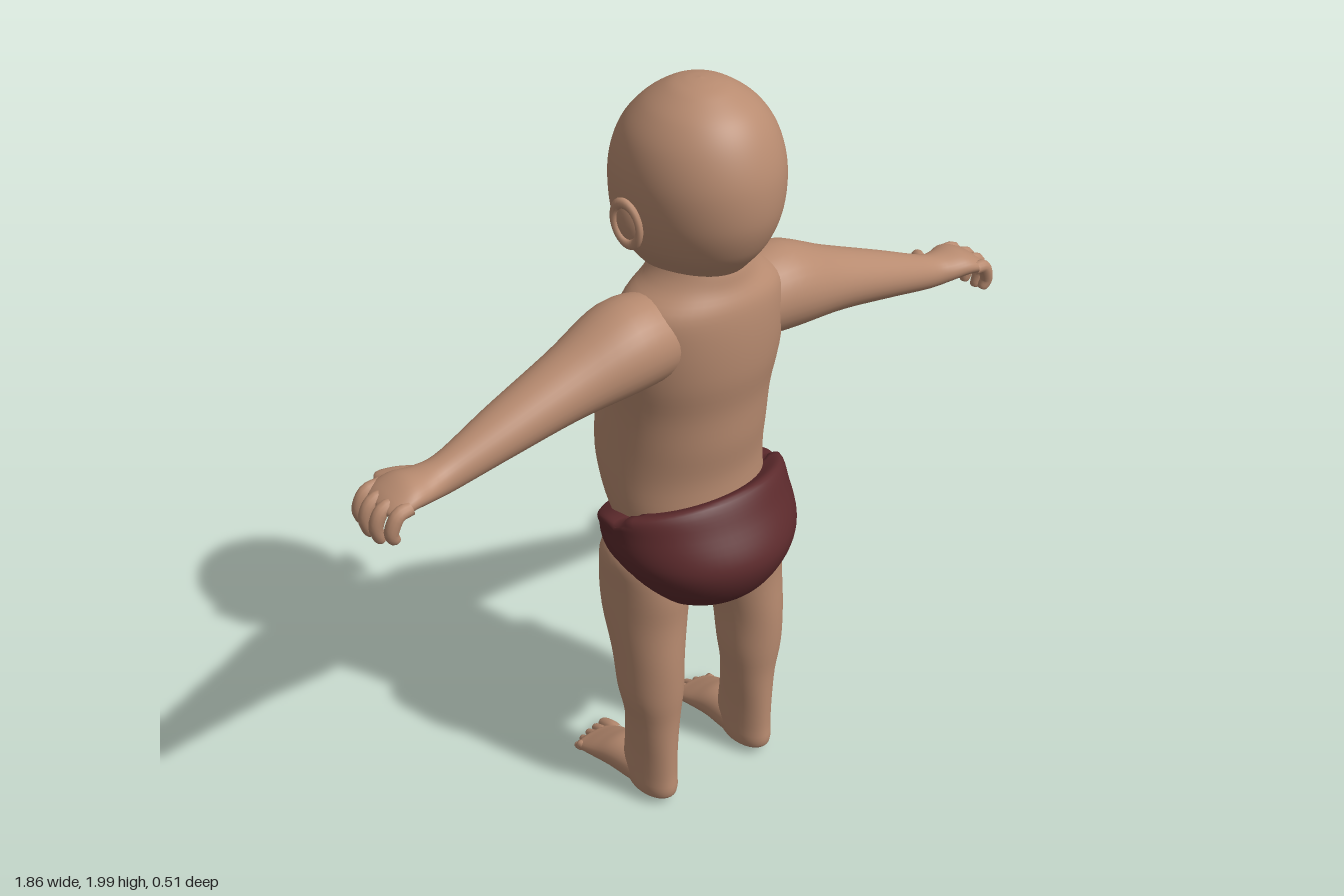
import * as THREE from 'three';

const skin = new THREE.MeshStandardMaterial({ color: 0xb88b70 });
skin.name = 'skin';
const cloth = new THREE.MeshStandardMaterial({ color: 0x5c2a2c, side: THREE.DoubleSide });
cloth.name = 'diaper cloth';
const crease = new THREE.MeshStandardMaterial({ color: 0x6e4638 });
crease.name = 'eye and mouth crease';

const X = new THREE.Vector3(1, 0, 0), Y = new THREE.Vector3(0, 1, 0), Z = new THREE.Vector3(0, 0, 1);

// Smooth skin through sections [x, y, z, halfAlongRef, halfAcross].
// Rings face dir, or follow the path when dir is null; rule may move each vertex.
function loft(sections, ref, dir, { rings = 32, sides = 32, rule = null } = {}) {
  const path = new THREE.CatmullRomCurve3(sections.map(s => new THREE.Vector3(s[0], s[1], s[2])), false, 'catmullrom');
  const size = new THREE.CatmullRomCurve3(sections.map(s => new THREE.Vector3(s[3], s[4], 0)), false, 'catmullrom');
  const pos = [], idx = [];
  for (let i = 0; i <= rings; i++) {
    const t = i / rings;
    const c = path.getPoint(t), r = size.getPoint(t);
    const T = dir ? dir.clone() : path.getTangent(t);
    const U = ref.clone().addScaledVector(T, -ref.dot(T)).normalize();
    const V = T.clone().cross(U);
    for (let j = 0; j < sides; j++) {
      const a = (j / sides) * Math.PI * 2;
      const p = c.clone()
        .addScaledVector(U, Math.max(r.x, 0.0005) * Math.cos(a))
        .addScaledVector(V, Math.max(r.y, 0.0005) * Math.sin(a));
      if (rule) rule(p);
      pos.push(p.x, p.y, p.z);
      if (i < rings) {
        const k = (j + 1) % sides, A = i * sides, B = A + sides;
        idx.push(A + j, A + k, B + j, A + k, B + k, B + j);
      }
    }
  }
  const g = new THREE.BufferGeometry();
  g.setAttribute('position', new THREE.Float32BufferAttribute(pos, 3));
  g.setIndex(idx);
  g.computeVertexNormals();
  return g;
}

function add(parent, name, geometry, material = skin) {
  const m = new THREE.Mesh(geometry, material);
  m.name = name;
  parent.add(m);
  return m;
}

// Rounded digit of radius r along three points
function digit(pts, r, ref) {
  const [a, b, c, d] = pts;
  const end = d.map((v, i) => v + (v - c[i]) * 0.12);
  return loft([[...a, r, r], [...b, r * 1.05, r * 1.05], [...c, r, r], [...d, r * 0.75, r * 0.75], [...end, 0, 0]],
    ref, null, { rings: 16, sides: 12 });
}

// Facial relief: [x, y, forward amount, spread x, spread y]
const relief = [
  [0, 1.675, 0.038, 0.02, 0.02], [0, 1.715, 0.012, 0.015, 0.03],
  [0.024, 1.668, 0.012, 0.012, 0.012], [-0.024, 1.668, 0.012, 0.012, 0.012],
  [0, 1.635, 0.026, 0.035, 0.012], [0, 1.603, 0.02, 0.03, 0.011], [0, 1.565, 0.014, 0.035, 0.018],
  [0.09, 1.65, 0.012, 0.045, 0.04], [-0.09, 1.65, 0.012, 0.045, 0.04],
  [0.075, 1.735, -0.01, 0.03, 0.018], [-0.075, 1.735, -0.01, 0.03, 0.018],
];
function shapeFace(p) {
  if (p.z > -0.04) return;
  let dz = 0;
  for (const [x, y, amt, sx, sy] of relief) dz += amt * Math.exp(-(((p.x - x) / sx) ** 2) - ((p.y - y) / sy) ** 2);
  p.z -= dz;
}

// Diaper waistband: high at the back, a step at the hips, dipping under the belly
function shapeWaist(p) {
  if (p.y <= 0.8) return;
  const top = p.z > 0.035
    ? Math.min(0.96, 0.92 + (p.z - 0.035) * 0.3)
    : 0.9 - 0.075 * THREE.MathUtils.smoothstep(-p.z, 0.0, 0.19);
  p.y = 0.8 + (p.y - 0.8) * (top - 0.8) / 0.16;
}

function addArm(body, s, side) {
  const arm = new THREE.Group();
  arm.name = side + 'Arm';
  body.add(arm);
  add(arm, 'armAndPalm', loft([
    [0.1, 1.405, 0.04, 0.1, 0.1], [0.24, 1.405, 0.037, 0.115, 0.11], [0.4, 1.363, 0.036, 0.088, 0.083],
    [0.58, 1.31, 0.035, 0.066, 0.062], [0.72, 1.268, 0.037, 0.047, 0.046], [0.78, 1.262, 0.037, 0.055, 0.038],
    [0.83, 1.264, 0.035, 0.068, 0.034], [0.87, 1.255, 0.033, 0.068, 0.026], [0.895, 1.25, 0.033, 0.045, 0.012],
    [0.9, 1.248, 0.033, 0, 0],
  ].map(([x, ...r]) => [x * s, ...r]), Z, X.clone().multiplyScalar(s), { rings: 44 }));
  const reach = [0, 0.008, 0.006, -0.008];
  for (let i = 0; i < 4; i++) {
    const z = -0.025 + i * 0.04, d = reach[i];
    add(arm, 'finger', digit([
      [s * 0.85, 1.258, z], [s * (0.89 + d), 1.252, z], [s * (0.908 + d), 1.212, z - 0.004], [s * (0.898 + d), 1.178 - d, z - 0.007],
    ], 0.0165, Z));
  }
  add(arm, 'thumb', digit([
    [s * 0.745, 1.258, 0.01], [s * 0.775, 1.248, -0.03], [s * 0.8, 1.238, -0.062], [s * 0.824, 1.228, -0.088],
  ], 0.019, Y));
}

function addLeg(body, s, side) {
  const leg = new THREE.Group();
  leg.name = side + 'Leg';
  body.add(leg);
  const flip = rows => rows.map(([x, ...r]) => [x * s, ...r]);
  add(leg, 'legAndHeel', loft(flip([
    [0.13, 0.84, 0, 0.07, 0.08], [0.145, 0.79, 0, 0.106, 0.118], [0.15, 0.7, 0, 0.103, 0.133],
    [0.155, 0.6, 0.002, 0.097, 0.127], [0.163, 0.48, 0.025, 0.084, 0.107], [0.163, 0.37, 0.034, 0.08, 0.094],
    [0.16, 0.28, 0.036, 0.066, 0.083], [0.16, 0.18, 0.03, 0.057, 0.086], [0.16, 0.1, 0.025, 0.055, 0.09],
    [0.16, 0.05, 0.03, 0.053, 0.087], [0.16, 0.026, 0.03, 0.042, 0.07], [0.16, 0.02, 0.03, 0, 0],
  ]), X, new THREE.Vector3(0, -1, 0), { rings: 44 }));
  add(leg, 'foot', loft(flip([
    [0.16, 0.06, 0.09, 0, 0], [0.16, 0.06, 0.08, 0.035, 0.03], [0.16, 0.067, 0, 0.052, 0.054],
    [0.165, 0.066, -0.08, 0.06, 0.051], [0.167, 0.051, -0.14, 0.066, 0.037], [0.168, 0.035, -0.19, 0.066, 0.024],
    [0.168, 0.03, -0.215, 0.055, 0.014], [0.168, 0.028, -0.22, 0, 0],
  ]), X, new THREE.Vector3(0, 0, -1)));
  for (let i = 0; i < 5; i++) {
    const x = s * (0.116 + i * 0.0268), r = i ? 0.0135 - i * 0.0006 : 0.0175, tip = -0.25 + i * i * 0.0018;
    add(leg, 'toe', digit([[x, 0.036, -0.18], [x, 0.034, -0.205], [x, 0.026, tip + 0.018], [x, 0.02, tip]], r, X));
  }
}

function addEar(head, s, side) {
  const ear = new THREE.Group();
  ear.name = side + 'Ear';
  ear.position.set(s * 0.198, 1.705, 0.022);
  ear.rotation.set(-0.15, s * -0.35, s * -0.15);
  head.add(ear);
  add(ear, 'earShell', new THREE.SphereGeometry(1, 20, 14)).scale.set(0.014, 0.056, 0.034);
  const rim = add(ear, 'earRim', new THREE.TorusGeometry(0.034, 0.009, 10, 28));
  rim.rotation.y = Math.PI / 2;
  rim.scale.set(0.95, 1.55, 1);
  rim.position.x = s * 0.008;
}

export function createModel() {
  const model = new THREE.Group();
  model.name = 'baby';

  // Trunk and neck
  add(model, 'torso', loft([
    [0, 0.78, 0, 0.14, 0.09], [0, 0.82, -0.01, 0.185, 0.145], [0, 0.9, -0.03, 0.208, 0.172],
    [0, 1.0, -0.05, 0.215, 0.191], [0, 1.1, -0.044, 0.215, 0.2], [0, 1.2, -0.022, 0.215, 0.187],
    [0, 1.3, 0.005, 0.222, 0.178], [0, 1.4, 0.022, 0.222, 0.166], [0, 1.48, 0.035, 0.205, 0.146],
    [0, 1.53, 0.035, 0.145, 0.125], [0, 1.57, 0.03, 0.115, 0.12], [0, 1.62, 0.02, 0.1, 0.11],
  ], X, Y, { rings: 48, sides: 48 }));

  // Head
  const head = new THREE.Group();
  head.name = 'head';
  model.add(head);
  add(head, 'skullAndFace', loft([
    [0, 1.525, -0.01, 0, 0], [0, 1.53, -0.01, 0.07, 0.08], [0, 1.545, -0.008, 0.103, 0.135],
    [0, 1.58, -0.01, 0.133, 0.175], [0, 1.635, 0.004, 0.165, 0.202], [0, 1.71, 0.014, 0.186, 0.219],
    [0, 1.8, 0.02, 0.191, 0.215], [0, 1.88, 0.024, 0.172, 0.188], [0, 1.94, 0.03, 0.131, 0.143],
    [0, 1.98, 0.03, 0.078, 0.085], [0, 1.995, 0.03, 0.038, 0.042], [0, 2.0, 0.03, 0, 0],
  ], X, Y, { rings: 84, sides: 96, rule: shapeFace }));
  for (const [s, side] of [[1, 'left'], [-1, 'right']]) {
    addEar(head, s, side);
    const eye = add(head, side + 'EyeSlit', new THREE.SphereGeometry(1, 16, 8), crease);
    eye.scale.set(0.024, 0.0035, 0.004);
    eye.position.set(s * 0.075, 1.735, -0.178);
    eye.rotation.y = s * -0.4;
  }
  const mouth = add(head, 'mouthCrease', new THREE.SphereGeometry(1, 16, 8), crease);
  mouth.scale.set(0.026, 0.004, 0.005);
  mouth.position.set(0, 1.619, -0.212);

  // Limbs
  for (const [s, side] of [[1, 'left'], [-1, 'right']]) {
    addArm(model, s, side);
    addLeg(model, s, side);
  }

  // Diaper bowl with an inward lip at the waist
  add(model, 'diaper', loft([
    [0, 0.955, -0.01, 0.19, 0.14], [0, 0.96, -0.008, 0.25, 0.178], [0, 0.9, 0.01, 0.255, 0.2],
    [0, 0.8, 0.03, 0.25, 0.23], [0, 0.7, 0.012, 0.205, 0.212], [0, 0.63, -0.025, 0.13, 0.168],
    [0, 0.58, -0.06, 0.07, 0.11], [0, 0.545, -0.1, 0.035, 0.045], [0, 0.535, -0.105, 0, 0],
  ], X, new THREE.Vector3(0, -1, 0), { rings: 48, sides: 64, rule: shapeWaist }), cloth);

  return model;
}
